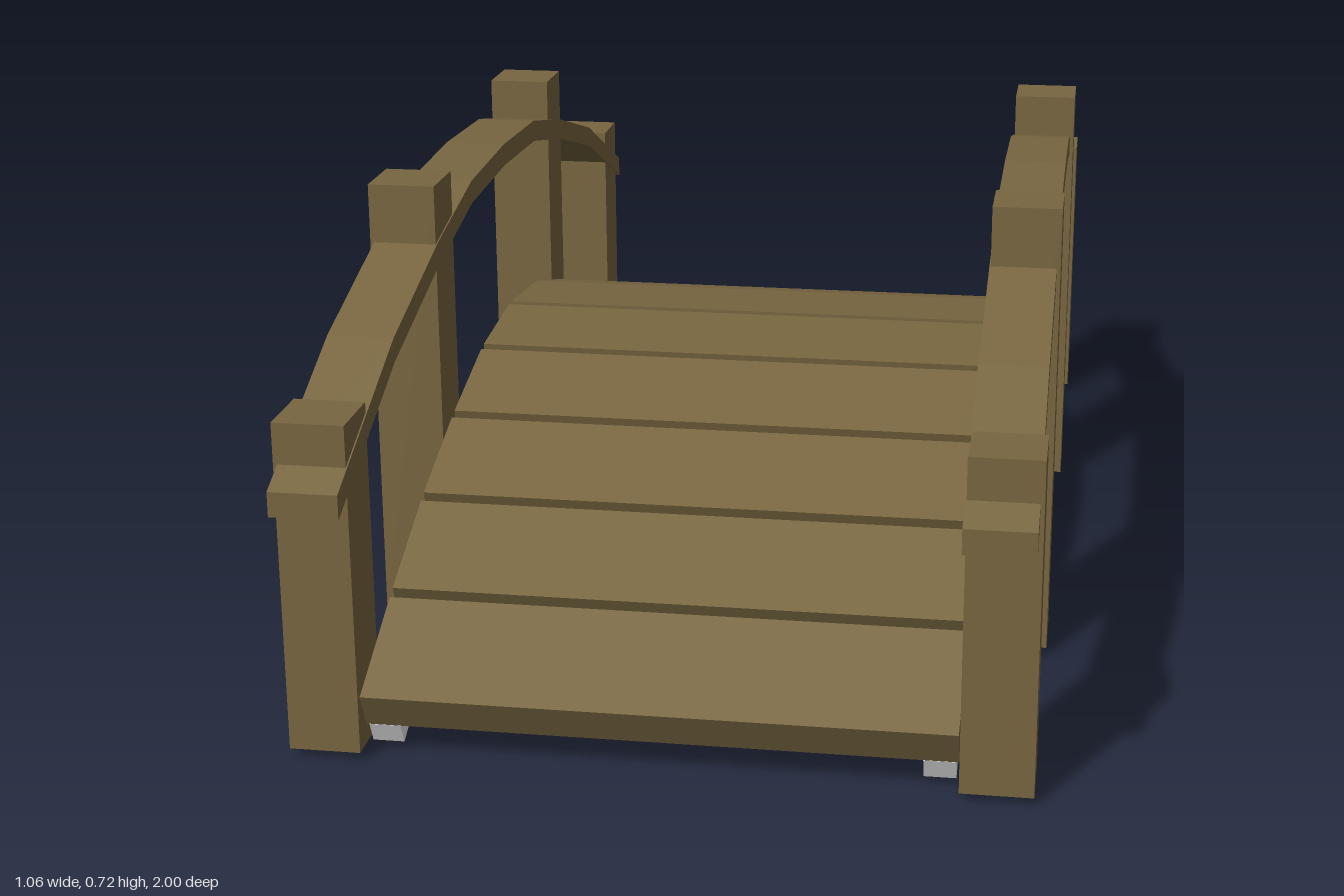
import * as THREE from 'three';

export function createModel() {
  const bridge = new THREE.Group();
  bridge.name = 'footbridge';
  const wood = new THREE.MeshStandardMaterial({ color: 0x786640 });
  wood.name = 'brown wood';
  const pale = new THREE.MeshStandardMaterial({ color: 0xe7e7e7 });
  pale.name = 'pale beam';

  const add = (name, geometry, material) => {
    const mesh = new THREE.Mesh(geometry, material);
    mesh.name = name;
    bridge.add(mesh);
    return mesh;
  };

  // Side outline of [z, y] points, extruded across x
  const across = (points, x, width) => {
    const shape = new THREE.Shape(points.map(([z, y]) => new THREE.Vector2(z, y)));
    return new THREE.ExtrudeGeometry(shape, { depth: width, bevelEnabled: false })
      .rotateY(-Math.PI / 2)
      .translate(x + width / 2, 0, 0);
  };

  // Mirror a half arc, listed from the crown outwards, into a full one
  const mirrorArc = (half) => [...half.slice(1).reverse().map(([z, y]) => [-z, y]), ...half];

  // Plank joints along the deck arch, very slightly higher at the front
  const joints = mirrorArc([
    [0, 0.408], [0.2, 0.39], [0.4, 0.338], [0.595, 0.27], [0.78, 0.188], [0.955, 0.1],
  ]).map(([z, y]) => [z - 0.01, y + 0.006 * z]);

  // Upward normal at each joint, averaged from its neighbours
  const normals = joints.map((_, i) => {
    const a = joints[Math.max(i - 1, 0)];
    const b = joints[Math.min(i + 1, joints.length - 1)];
    const length = Math.hypot(b[0] - a[0], b[1] - a[1]);
    return [-(b[1] - a[1]) / length, (b[0] - a[0]) / length];
  });
  const below = (i, depth) => [
    joints[i][0] - normals[i][0] * depth,
    joints[i][1] - normals[i][1] * depth,
  ];
  const mix = (a, b, t) => [a[0] + (b[0] - a[0]) * t, a[1] + (b[1] - a[1]) * t];

  // Deck planks with narrow gaps; the two ends stay full
  const count = joints.length - 1;
  for (let i = 0; i < count; i++) {
    const start = i === 0 ? 0 : 0.045;
    const end = i === count - 1 ? 1 : 0.955;
    const t0 = joints[i], t1 = joints[i + 1];
    const b0 = below(i, 0.06), b1 = below(i + 1, 0.06);
    const outline = [mix(b0, b1, start), mix(b0, b1, end), mix(t0, t1, end), mix(t0, t1, start)];
    add('plank', across(outline, 0, 0.85), wood);
  }

  // Curved beams, posts and handrails on both sides
  const beamOutline = [
    ...joints.map((_, i) => below(i, 0.097)),
    ...joints.map((_, i) => below(i, 0.0605)).reverse(),
  ];
  const railTop = mirrorArc([
    [0, 0.692], [0.225, 0.683], [0.44, 0.638], [0.7, 0.564], [0.998, 0.432],
  ]);
  const railOutline = [...railTop.map(([z, y]) => [z, y - 0.037]), ...[...railTop].reverse()];
  const posts = [[0.897, 0.515], [0.395, 0.728], [-0.397, 0.728], [-0.916, 0.515]];

  for (const side of [-1, 1]) {
    add('supportBeam', across(beamOutline, side * 0.398, 0.046), pale);
    add('handrail', across(railOutline, side * 0.475, 0.1), wood);
    for (const [z, top] of posts) {
      const height = top - 0.02;
      add('post', new THREE.BoxGeometry(0.104, height, 0.103), wood)
        .position.set(side * 0.479, 0.02 + height / 2, z);
    }
  }
  return bridge;
}
